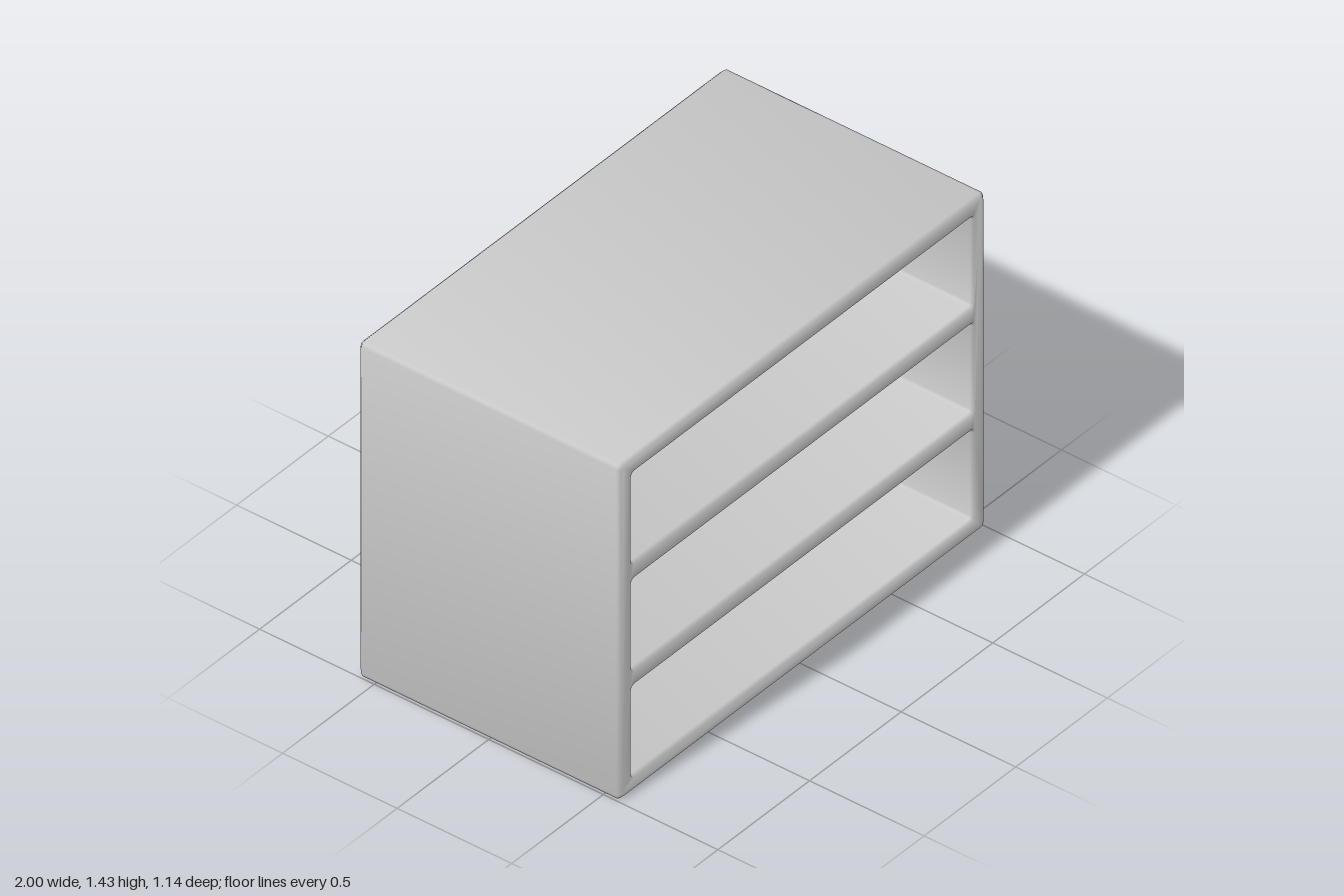
import * as THREE from 'three';
import { mergeGeometries, mergeVertices } from 'three/addons/utils/BufferGeometryUtils.js';

const W = 2, H = 1.43, D = 1.14;   // overall size
const WALL = 0.066, BACK = 0.07;   // panel thicknesses
const BEVEL = 0.014;

// Counter-clockwise rectangle with softened corners
function ring(cx, cy, w, h, r) {
  const pts = [];
  [[1, 1], [-1, 1], [-1, -1], [1, -1]].forEach(([sx, sy], q) => {
    for (let k = 0; k <= 2; k++) {
      const a = (q + k / 2) * Math.PI / 2;
      pts.push(new THREE.Vector2(cx + sx * (w / 2 - r) + r * Math.cos(a), cy + sy * (h / 2 - r) + r * Math.sin(a)));
    }
  });
  return pts;
}

// Skin through a list of [ring, z] sections
function loft(sections) {
  const pos = [], index = [], n = sections[0][0].length;
  sections.forEach(([pts, z]) => pts.forEach(p => pos.push(p.x, p.y, z)));
  for (let s = 0; s < sections.length - 1; s++) {
    for (let i = 0; i < n; i++) {
      const a = s * n + i, b = s * n + (i + 1) % n;
      index.push(a, b, b + n, a, b + n, a + n);
    }
  }
  const g = new THREE.BufferGeometry();
  g.setAttribute('position', new THREE.Float32BufferAttribute(pos, 3));
  g.setIndex(index);
  return g;
}

// Flat face at depth z, optionally with holes, facing +z or (flipped) -z
function cap(pts, z, holes = [], flip = false) {
  const shape = new THREE.Shape(pts);
  shape.holes = holes.map(h => new THREE.Path(h));
  const g = new THREE.ShapeGeometry(shape).translate(0, 0, z);
  g.deleteAttribute('uv');
  g.deleteAttribute('normal');
  if (flip) g.index.array.reverse();
  return g;
}

// Angle-weighted smooth normals, so the bevels blend into the panels
function smoothNormals(g) {
  const p = g.attributes.position, idx = g.index.array;
  const sum = Array.from({ length: p.count }, () => new THREE.Vector3());
  const tri = new THREE.Triangle(), n = new THREE.Vector3();
  for (let t = 0; t < idx.length; t += 3) {
    const ids = [idx[t], idx[t + 1], idx[t + 2]];
    tri.setFromAttributeAndIndices(p, ...ids);
    tri.getNormal(n);
    const v = [tri.a, tri.b, tri.c];
    ids.forEach((id, k) => {
      const e1 = v[(k + 1) % 3].clone().sub(v[k]), e2 = v[(k + 2) % 3].clone().sub(v[k]);
      sum[id].addScaledVector(n, e1.angleTo(e2));
    });
  }
  const out = sum.flatMap(s => s.normalize().toArray());
  g.setAttribute('normal', new THREE.Float32BufferAttribute(out, 3));
  return g;
}

export function createModel() {
  const group = new THREE.Group();
  group.name = 'openCabinet';
  const zf = D / 2, zb = -D / 2, cy = H / 2;

  // Outer shell with bevelled front and back edges
  const outer = ring(0, cy, W, H, 0.02);
  const inset = ring(0, cy, W - 2 * BEVEL, H - 2 * BEVEL, 0.012);
  const parts = [
    loft([[inset, zb], [outer, zb + BEVEL], [outer, zf - BEVEL], [inset, zf]]),
    cap(inset, zb, [], true),
  ];

  // Three stacked compartments
  const openW = W - 2 * WALL, openH = (H - 4 * WALL) / 3, floor = zb + BACK;
  const mouths = [];
  for (let i = 0; i < 3; i++) {
    const y = WALL + openH / 2 + i * (openH + WALL);
    const mouth = ring(0, y, openW + 0.01, openH + 0.01, 0.02);
    const wall = ring(0, y, openW - 0.006, openH - 0.006, 0.014);
    const rear = ring(0, y, openW - 0.026, openH - 0.026, 0.008);
    mouths.push(mouth);
    parts.push(loft([[mouth, zf], [wall, zf - BEVEL], [wall, floor + 0.01], [rear, floor]]), cap(rear, floor));
  }

  // Front frame and shelf edges
  parts.push(cap(inset, zf, mouths));

  const geometry = smoothNormals(mergeVertices(mergeGeometries(parts), 1e-4));
  const body = new THREE.Mesh(geometry, new THREE.MeshStandardMaterial({ color: 0xcccccc }));
  body.name = 'cabinetBody';
  group.add(body);
  return group;
}
